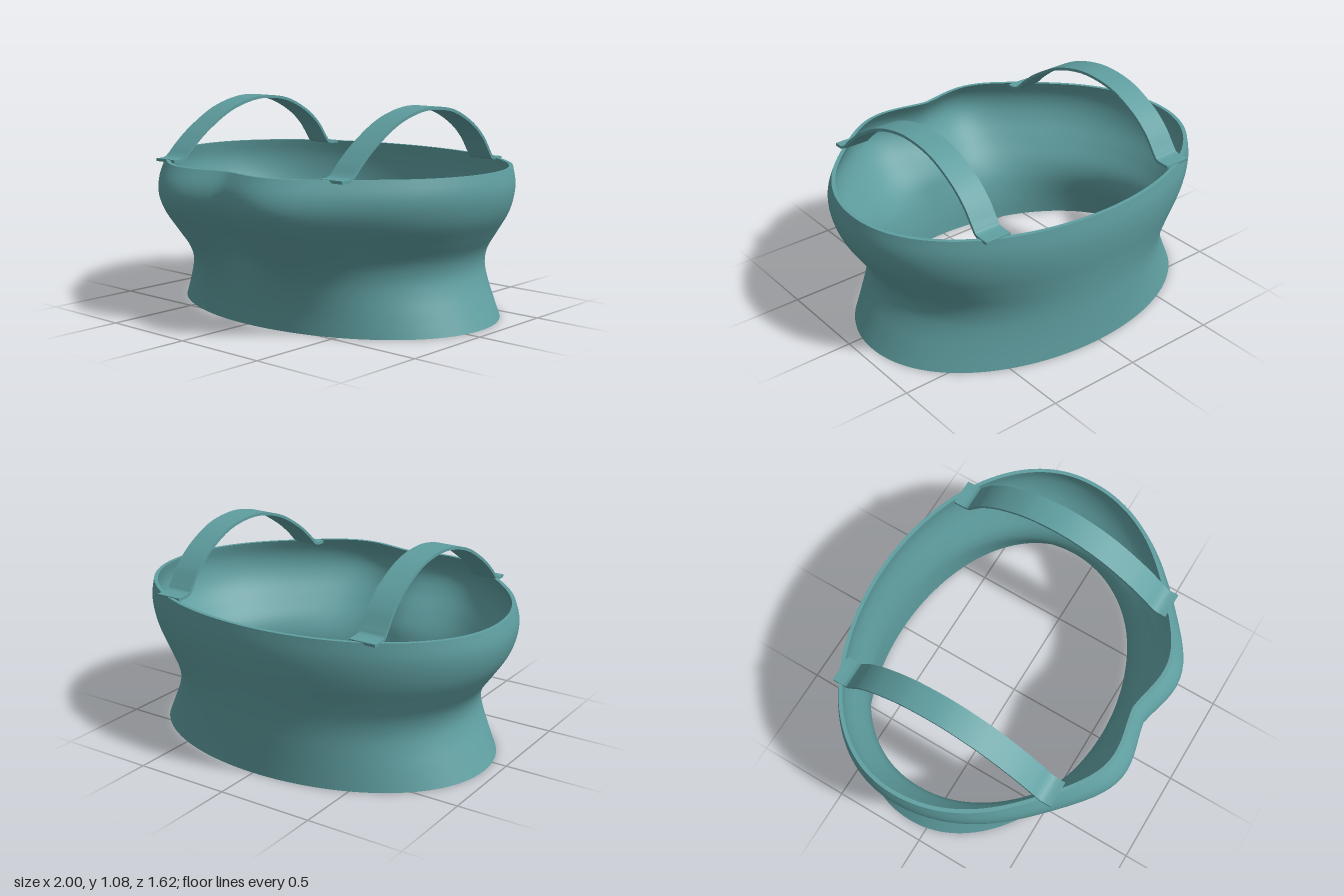
import * as THREE from 'three';
import { toCreasedNormals } from 'three/addons/utils/BufferGeometryUtils.js';

const SEGMENTS = 144, ROWS = 36, THICKNESS = 0.02;
const BOTTOM = 0.005, TOP = 0.782, CENTRE_Z = -0.1;

// Outline by height: half width, back z, front z on the centre line, bust fullness
const heights = [0, 0.1, 0.2, 0.27, 0.35, 0.45, 0.55, 0.63, 0.7, 0.79];
const outline = [
  0.935, -0.757, 0.575, 0,
  0.885, -0.755, 0.58, 0,
  0.838, -0.756, 0.59, 0.01,
  0.82, -0.758, 0.6, 0.025,
  0.835, -0.764, 0.615, 0.055,
  0.9, -0.777, 0.665, 0.082,
  0.965, -0.794, 0.73, 0.09,
  0.993, -0.804, 0.76, 0.09,
  1.0, -0.806, 0.752, 0.085,
  0.983, -0.797, 0.7, 0.075,
];
const profile = new THREE.CubicInterpolant(heights, outline, 4);

// Horizontal ring at one height; inset moves it inwards along its normal
function ring(y, inset) {
  const [a, back, front, bust] = profile.evaluate(y);
  const pts = [];
  for (let i = 0; i < SEGMENTS; i++) {
    const t = (i / SEGMENTS) * Math.PI * 2;
    const c = Math.cos(t), s = Math.sin(t);
    const x = a * c;
    let z;
    if (s >= 0) {
      const bump = Math.exp(-(((Math.abs(x) - 0.34) / 0.18) ** 2) / 2)
        - 2 * Math.exp(-((0.34 / 0.18) ** 2) / 2) * Math.exp(-((x / 0.1) ** 2) / 2) * 0.5;
      z = CENTRE_Z + (front - CENTRE_Z) * s + bust * bump * Math.min(1, s * 3);
    } else {
      z = CENTRE_Z + (back - CENTRE_Z) * Math.pow(-s, 0.94);
    }
    pts.push(new THREE.Vector3(x, y, z));
  }
  return pts.map((p, i) => {
    const d = pts[(i + 1) % SEGMENTS].clone().sub(pts[(i + SEGMENTS - 1) % SEGMENTS]).normalize();
    return new THREE.Vector3(p.x - d.z * inset, y, p.z + d.x * inset);
  });
}

// Smooth closed skin through a list of rings
function loft(rings) {
  const index = [];
  for (let r = 0; r < rings.length - 1; r++) {
    for (let i = 0; i < SEGMENTS; i++) {
      const n = (i + 1) % SEGMENTS;
      const p = r * SEGMENTS + i, q = r * SEGMENTS + n;
      index.push(p, p + SEGMENTS, q, q, p + SEGMENTS, q + SEGMENTS);
    }
  }
  const geo = new THREE.BufferGeometry().setFromPoints(rings.flat());
  geo.setIndex(index);
  geo.computeVertexNormals();
  return geo;
}

// Strap: side path (z, y) thickened into a ribbon and extruded across its width
function strapGeometry(width, thickness) {
  const path = new THREE.SplineCurve([
    [0.592, 0.776], [0.545, 0.777], [0.51, 0.793], [0.45, 0.85], [0.35, 0.927],
    [0.2, 1.013], [0.05, 1.06], [-0.09, 1.073], [-0.25, 1.05], [-0.4, 0.98],
    [-0.5, 0.9], [-0.565, 0.815], [-0.595, 0.785], [-0.67, 0.779],
  ].map(([z, y]) => new THREE.Vector2(z, y)));
  const upper = [], lower = [], steps = 90;
  for (let i = 0; i <= steps; i++) {
    const p = path.getPoint(i / steps), d = path.getTangent(i / steps);
    const n = new THREE.Vector2(-d.y, d.x).multiplyScalar(thickness / 2);
    upper.push(p.clone().add(n));
    lower.unshift(p.clone().sub(n));
  }
  const geo = new THREE.ExtrudeGeometry(new THREE.Shape([...upper, ...lower]), {
    depth: width, bevelEnabled: false,
  });
  geo.translate(0, 0, -width / 2).rotateY(-Math.PI / 2);
  return toCreasedNormals(geo, 0.6);
}

export function createModel() {
  const model = new THREE.Group();
  model.name = 'strappedTop';
  const material = new THREE.MeshStandardMaterial({ color: 0x5f9ea0, side: THREE.DoubleSide });
  const add = (name, geo, parent) => {
    const mesh = new THREE.Mesh(geo, material);
    mesh.name = name;
    parent.add(mesh);
    return mesh;
  };

  // Bodice: outer and inner skins joined by a flat rim and hem
  const bodice = new THREE.Group();
  bodice.name = 'bodice';
  model.add(bodice);
  const outer = [], inner = [];
  for (let r = 0; r <= ROWS; r++) {
    const y = BOTTOM + ((TOP - BOTTOM) * r) / ROWS;
    outer.push(ring(y, 0));
    inner.unshift(ring(y, THICKNESS));
  }
  add('outerSkin', loft(outer), bodice);
  add('innerSkin', loft(inner), bodice);
  add('neckRim', loft([outer[ROWS], inner[0]]), bodice);
  add('hem', loft([inner[ROWS], outer[0]]), bodice);

  // Shoulder straps
  const strap = strapGeometry(0.14, 0.015);
  for (const [name, side] of [['leftStrap', 1], ['rightStrap', -1]]) {
    add(name, strap, model).position.x = side * 0.575;
  }
  return model;
}
